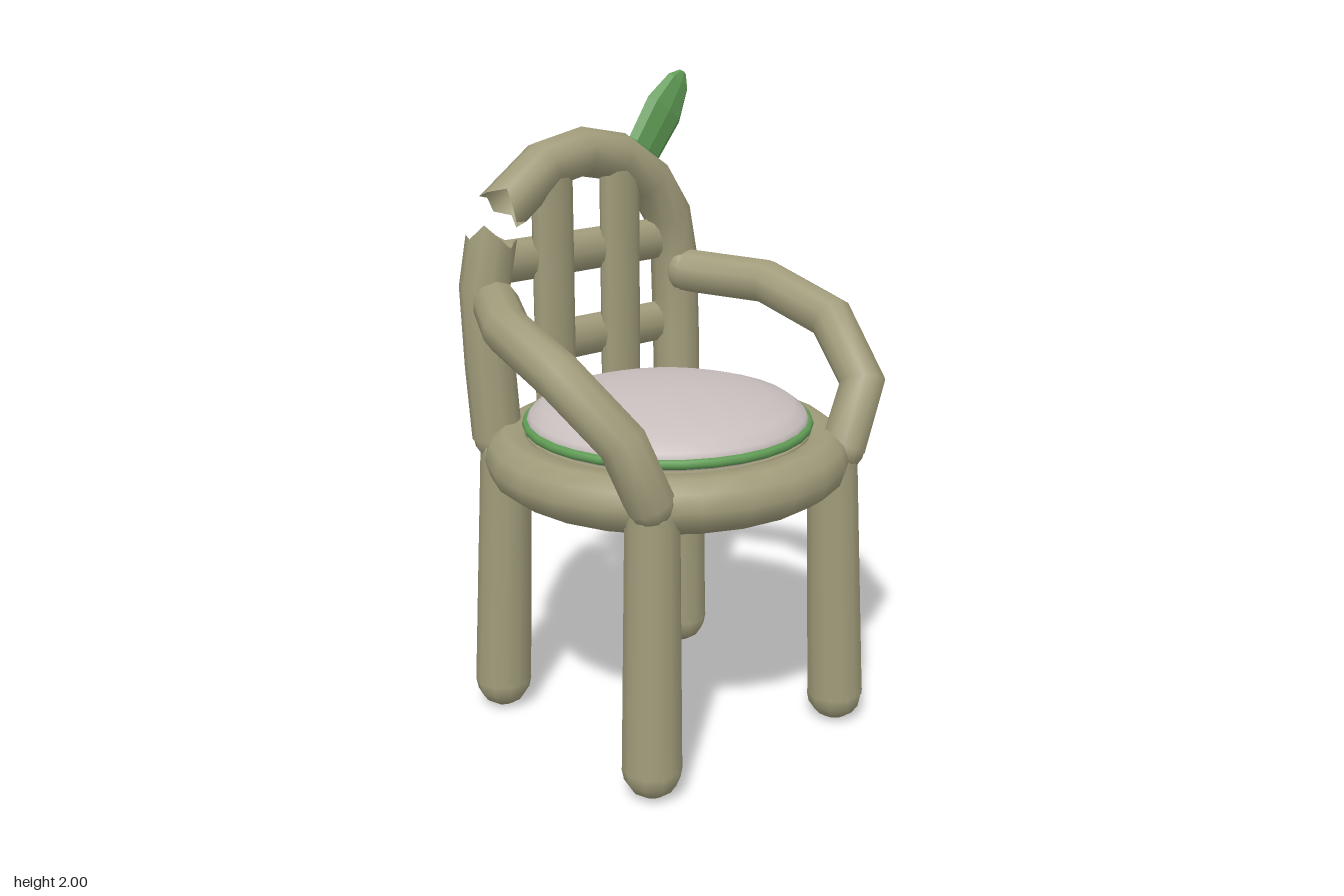
import * as THREE from 'three';

const V = (x, y, z) => new THREE.Vector3(x, y, z);

export function createModel() {
  const group = new THREE.Group();
  const material = (name, color, extra = {}) => {
    const m = new THREE.MeshStandardMaterial({ color, ...extra });
    m.name = name;
    return m;
  };
  const wood = material('olive wood', 0xa09b7a, { side: THREE.DoubleSide });
  const fabric = material('pale cushion', 0xc8bfbe);
  const green = material('leaf green', 0x609c55);

  const add = (name, geometry, mat, parent = group) => {
    const mesh = new THREE.Mesh(geometry, mat);
    mesh.name = name;
    parent.add(mesh);
    return mesh;
  };

  // Pole with one straight piece between each pair of points
  const pole = (name, points, radius, parent = group) => {
    const curve = new THREE.CatmullRomCurve3(points);
    curve.getPointAt = (u, target) => curve.getPoint(u, target);
    curve.getTangentAt = (u, target) => curve.getTangent(u, target);
    const mesh = add(name, new THREE.TubeGeometry(curve, points.length - 1, radius, 10), wood, parent);
    mesh.userData.endTangent = curve.getTangent(1);
    return mesh;
  };

  // Rounded end or joint
  const knob = (name, p, r, parent = group) => {
    const mesh = add(name, new THREE.SphereGeometry(r, 10, 8), wood, parent);
    mesh.position.copy(p);
    return mesh;
  };

  // Pull the last ring of a pole into splinters
  const splinter = (mesh, offsets) => {
    const pos = mesh.geometry.attributes.position;
    const t = mesh.userData.endTangent;
    for (let j = 0; j <= 10; j++) {
      const i = pos.count - 11 + j;
      const d = offsets[j % 10];
      pos.setXYZ(i, pos.getX(i) + t.x * d, pos.getY(i) + t.y * d, pos.getZ(i) + t.z * d);
    }
  };

  // Splayed legs with rounded feet
  for (const sx of [-1, 1]) {
    for (const sz of [-1, 1]) {
      const leg = new THREE.Group();
      leg.name = (sz > 0 ? 'front' : 'back') + (sx > 0 ? 'Left' : 'Right') + 'Leg';
      group.add(leg);
      const foot = V(sx * 0.382, 0.095, sz * 0.382);
      const top = V(sx * 0.36, 0.87, sz * 0.36);
      const shaft = add('legShaft', new THREE.CylinderGeometry(0.08, 0.09, foot.distanceTo(top), 12, 1, true), wood, leg);
      shaft.position.copy(foot).lerp(top, 0.5);
      shaft.quaternion.setFromUnitVectors(V(0, 1, 0), top.clone().sub(foot).normalize());
      knob('foot', foot, 0.09, leg);
      knob('legTop', top, 0.08, leg);
    }
  }

  // Seat ring and base
  const ring = add('seatRing', new THREE.TorusGeometry(0.48, 0.086, 10, 24), wood);
  ring.rotation.x = Math.PI / 2;
  ring.position.y = 0.895;
  const base = add('seatBase', new THREE.CylinderGeometry(0.44, 0.485, 0.16, 32), wood);
  base.position.y = 0.896;

  // Domed cushion with green piping
  const profile = [[0, 0.97], [0.425, 0.97], [0.44, 1.0], [0.425, 1.025], [0.39, 1.052],
    [0.31, 1.077], [0.2, 1.093], [0.1, 1.102], [0, 1.105]];
  add('cushion', new THREE.LatheGeometry(profile.map(([x, y]) => new THREE.Vector2(x, y)), 32), fabric);
  const piping = add('cushionPiping', new THREE.TorusGeometry(0.434, 0.015, 8, 32), green);
  piping.rotation.x = Math.PI / 2;
  piping.position.y = 0.996;

  // Back arch, snapped near its right shoulder
  const arc = (deg) => {
    const a = THREE.MathUtils.degToRad(deg);
    return V(0.38 * Math.cos(a), 1.395 + 0.38 * Math.sin(a), -0.418);
  };
  const side = (sx) => [V(sx * 0.37, 0.92, -0.39), V(sx * 0.378, 1.15, -0.405)];
  const arch = pole('backArch', [...side(1), ...[0, 22.5, 45, 67.5, 90, 112.5, 141].map(arc)], 0.078);
  splinter(arch, [0.02, -0.02, 0.01, 0.03, -0.01, 0.01, -0.02, 0.01, 0, 0.03]);
  const post = pole('brokenPost', [...side(-1), arc(180), arc(157)], 0.078);
  splinter(post, [-0.01, 0.01, -0.02, 0.01, 0.04, -0.01, 0, -0.02, 0.02, 0]);
  for (const sx of [-1, 1]) knob('backPostEnd', side(sx)[0], 0.074);

  // Upright slats in front of two cross rails
  for (const sx of [-1, 1]) {
    const slat = add('backSlat', new THREE.CylinderGeometry(0.074, 0.074, 0.71, 12), wood);
    slat.scale.z = 0.58;
    slat.position.set(sx * 0.133, 1.355, -0.397);
  }
  for (const y of [1.178, 1.46]) {
    const rail = add('backRail', new THREE.CylinderGeometry(0.068, 0.068, 0.63, 12), wood);
    rail.rotation.z = Math.PI / 2;
    rail.scale.z = 0.75;
    rail.position.set(0, y, -0.432);
  }

  // Bent armrests
  for (const sx of [-1, 1]) {
    const arm = new THREE.Group();
    arm.name = sx > 0 ? 'leftArmrest' : 'rightArmrest';
    group.add(arm);
    const pts = [V(sx * 0.38, 1.355, -0.36), V(sx * 0.512, 1.34, -0.11),
      V(sx * 0.533, 1.265, 0.17), V(sx * 0.472, 1.11, 0.37), V(sx * 0.385, 0.92, 0.38)];
    pole('armPole', pts, 0.072, arm);
    knob('armBackEnd', pts[0], 0.072, arm).scale.z = 0.6;
    knob('armFrontEnd', pts[4], 0.07, arm);
  }

  // Faceted leaf
  const leafProfile = [[0, -0.21], [0.045, -0.175], [0.073, -0.11], [0.08, 0.035],
    [0.048, 0.14], [0.015, 0.175], [0, 0.178]].map(([x, y]) => new THREE.Vector2(x, y));
  const leaf = add('leaf', new THREE.LatheGeometry(leafProfile, 8), green);
  leaf.geometry = leaf.geometry.toNonIndexed();
  leaf.geometry.computeVertexNormals();
  leaf.scale.z = 0.38;
  leaf.rotation.z = -0.62;
  leaf.position.set(0.322, 1.853, -0.425);

  return group;
}
